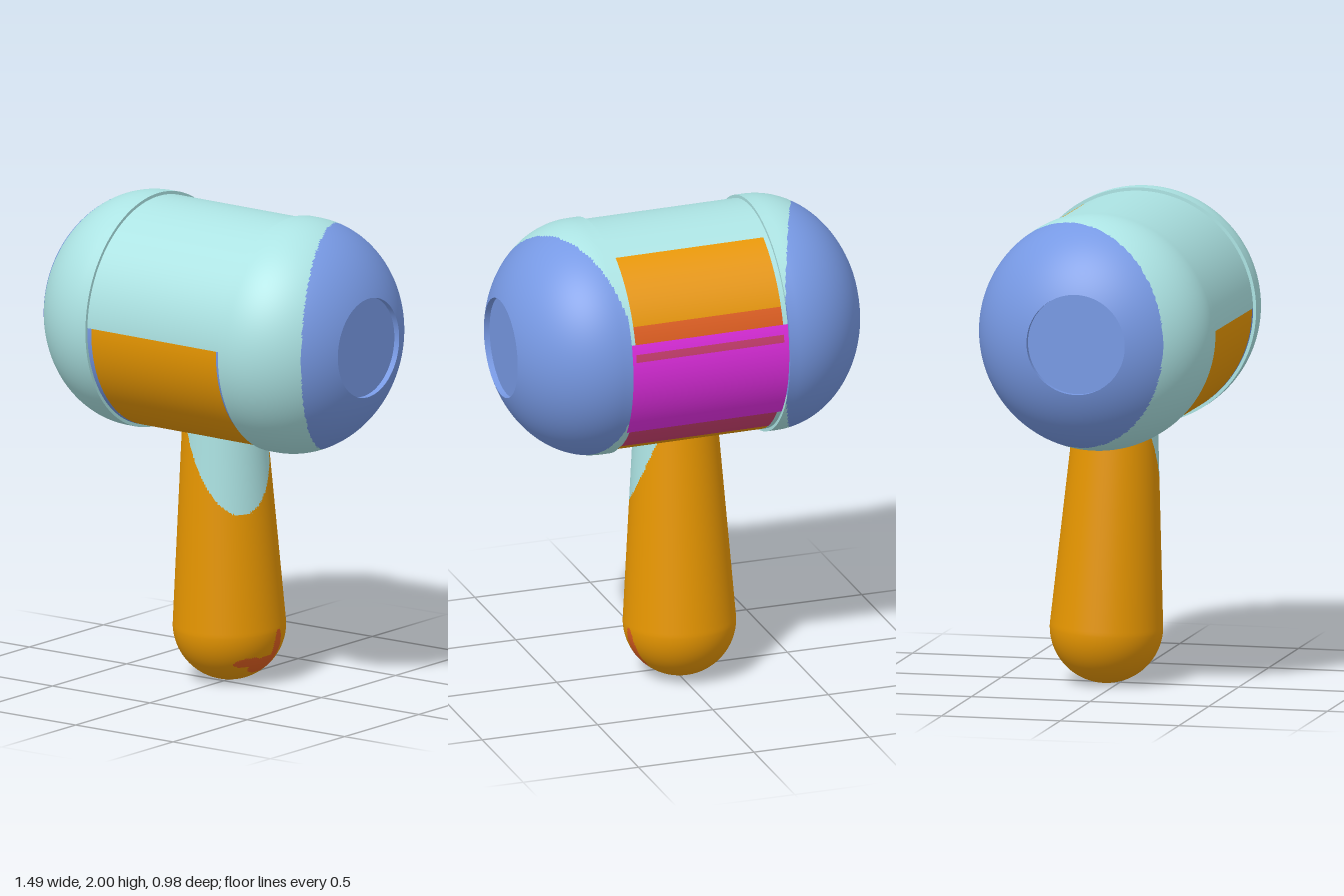
import * as THREE from 'three';

const makeMaterial = (name, color) => {
  const m = new THREE.MeshStandardMaterial({ color });
  m.name = name;
  return m;
};

// Splits a surface into material groups; pick(centre) returns a material index
function paint(source, pick, count) {
  const geo = source.toNonIndexed();
  const pos = geo.attributes.position;
  const nor = geo.attributes.normal;
  const buckets = Array.from({ length: count }, () => []);
  const c = new THREE.Vector3(), v = new THREE.Vector3();
  for (let i = 0; i < pos.count; i += 3) {
    c.set(0, 0, 0);
    for (let k = 0; k < 3; k++) c.add(v.fromBufferAttribute(pos, i + k));
    buckets[pick(c.divideScalar(3))].push(i, i + 1, i + 2);
  }
  const out = new THREE.BufferGeometry();
  const P = [], N = [];
  buckets.forEach((list, m) => {
    out.addGroup(P.length / 3, list.length, m);
    for (const i of list) {
      P.push(pos.getX(i), pos.getY(i), pos.getZ(i));
      N.push(nor.getX(i), nor.getY(i), nor.getZ(i));
    }
  });
  out.setAttribute('position', new THREE.Float32BufferAttribute(P, 3));
  out.setAttribute('normal', new THREE.Float32BufferAttribute(N, 3));
  return out;
}

const lathe = (points, segments) =>
  new THREE.LatheGeometry(points.map(([r, y]) => new THREE.Vector2(r, y)), segments);

export function createModel() {
  const teal = makeMaterial('paleTeal', 0xace3e3);
  const blue = makeMaterial('blue', 0x7799e4);
  const orange = makeMaterial('orange', 0xe89700);
  const magenta = makeMaterial('magenta', 0xe22ee2);
  const red = makeMaterial('rustRed', 0xe05f20);
  const crimson = makeMaterial('crimson', 0xcc4070);

  const model = new THREE.Group();
  model.name = 'mallet';
  const add = (parent, name, geo, mat) => {
    const mesh = new THREE.Mesh(geo, mat);
    mesh.name = name;
    parent.add(mesh);
    return mesh;
  };

  // Head, lying along x with a very slight tilt
  const head = new THREE.Group();
  head.name = 'head';
  head.position.y = 1.51;
  head.rotation.z = -0.009;
  model.add(head);

  // Barrel strips: angles in degrees, 0 = back, 90 = top, 180 = front
  const R = 0.475;
  const strip = (name, from, to, x0, x1, mat) => {
    const rad = Math.PI / 180;
    const geo = new THREE.CylinderGeometry(R, R, x1 - x0, Math.ceil((to - from) / 3), 1, true,
      Math.PI + from * rad, (to - from) * rad);
    geo.rotateZ(-Math.PI / 2);
    geo.translate((x0 + x1) / 2, 0, 0);
    add(head, name, geo, mat);
  };
  strip('barrelTop', 62, 179, -0.345, 0.345, teal);
  strip('barrelBackMagenta', -38, 6, -0.345, 0.345, magenta);
  strip('barrelMagentaLine', 10, 15, -0.345, 0.345, magenta);
  const inner = [
    ['barrelLowerOrange', -181, -56, orange],
    ['barrelLowerCrimson', -56, -38, crimson],
    ['barrelCrimsonLine', 6, 10, crimson],
    ['barrelRedStrip', 15, 24, red],
    ['barrelUpperOrange', 24, 62, orange],
  ];
  for (const [name, from, to, mat] of inner) strip(name, from, to, -0.32, 0.32, mat);
  for (const [x0, x1] of [[-0.345, -0.32], [0.32, 0.345]]) {
    strip('barrelEdgeFront', -181, -100, x0, x1, blue);
    strip('barrelEdgeBelow', -100, -38, x0, x1, teal);
    strip('barrelEdgeLine', 6, 10, x0, x1, magenta);
    strip('barrelEdgeBack', 15, 62, x0, x1, teal);
  }

  // Domed end caps, pale towards the front and blue towards the back and ends
  const dome = [];
  for (let i = 0; i < 5; i++) dome.push([0.488, 0.34 + 0.008 * i]);
  const last = Math.acos(0.207 / 0.488);
  for (let i = 0; i <= 60; i++) {
    const a = (last * i) / 60;
    dome.push([0.488 * Math.cos(a), 0.38 + 0.4 * Math.sin(a)]);
  }
  const end = dome[dome.length - 1][1];
  for (const side of [1, -1]) {
    const cap = new THREE.Group();
    cap.name = side > 0 ? 'leftCap' : 'rightCap';
    head.add(cap);
    const place = (points) => lathe(points, 192).rotateZ(-side * Math.PI / 2);
    const pick = (c) => (Math.abs(c.x) > 0.518 + 0.41 * c.z ? 1 : 0);
    add(cap, 'capDome', paint(place(dome), pick, 2), [teal, blue]);
    add(cap, 'capCollar', paint(place([[0.465, 0.34], [0.488, 0.34]]), pick, 2), [teal, blue]);
    add(cap, 'capRecessWall', place([[0.207, end], [0.207, end - 0.025]]), blue);
    add(cap, 'capRecessFace', place([[0.207, end - 0.025], [0, end - 0.025]]), blue);
  }

  // Handle: rounded foot and a taper up into the head
  const profile = [];
  for (let i = 0; i <= 40; i++) {
    const a = (Math.PI / 2) * (i / 40 - 1);
    profile.push([0.232 * Math.cos(a), 0.232 + 0.232 * Math.sin(a)]);
  }
  for (let i = 1; i <= 80; i++) {
    const t = i / 80;
    profile.push([0.232 - 0.064 * t, 0.232 + 0.92 * t]);
  }
  const inEllipse = (z, y, cz, cy, w, h) => ((z - cz) / w) ** 2 + ((y - cy) / h) ** 2 < 1;
  const pickHandle = (c) => {
    // Slanted pale patch below the head, towards the front left
    const d = Math.atan2(c.z, c.x) - 0.57;
    if (c.y > 0.735 + 0.4 * (1 - Math.cos(d))) return 1;
    // Small red hook near the foot: upright, base and thin tail
    const hook = inEllipse(c.z, c.y, -0.03, 0.15, 0.027, 0.085) ||
      inEllipse(c.z, c.y, 0.015, 0.088, 0.07, 0.04) ||
      inEllipse(c.z, c.y, 0.1, 0.11, 0.05, 0.022);
    return c.x > 0 && hook ? 2 : 0;
  };
  const handle = add(model, 'handle', paint(lathe(profile, 160), pickHandle, 3), [orange, teal, red]);
  handle.position.set(-0.014, 0.002, -0.064);
  handle.rotation.set(0.045, 0, -0.004);

  return model;
}
